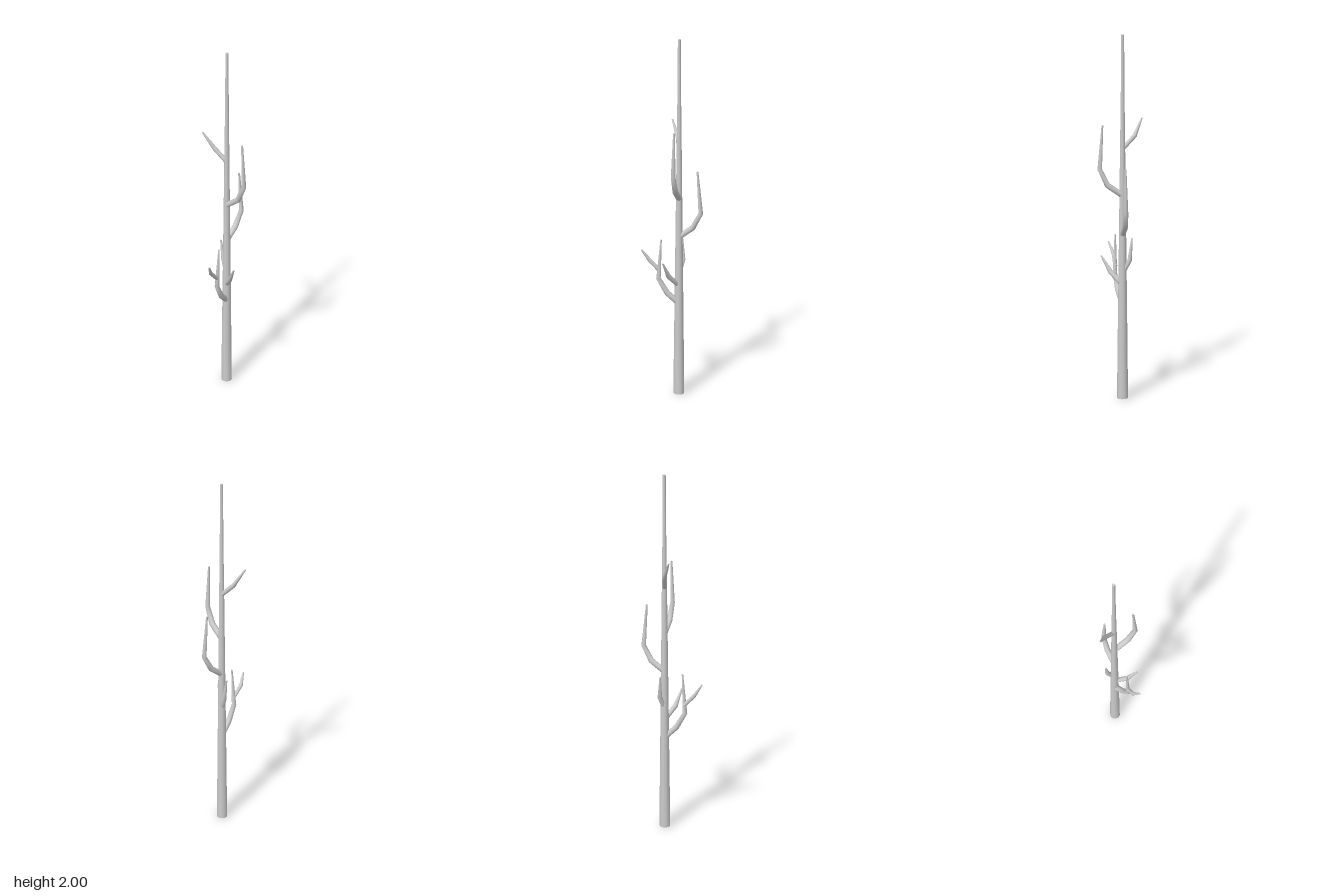
import * as THREE from 'three';

const SIDES = 10;
const material = new THREE.MeshStandardMaterial({ color: 0xcccccc });

// Sweeps a tapering round section along points [x, y, z, radius], capped at both ends
function limb(name, path) {
  const pts = path.map(p => new THREE.Vector3(p[0], p[1], p[2]));
  const pos = [], idx = [];
  const normal = new THREE.Vector3(0, 0, 1);
  if (Math.abs(pts[1].z - pts[0].z) > 0.03) normal.set(1, 0, 0);
  path.forEach((p, i) => {
    const before = pts[i].clone().sub(pts[Math.max(i - 1, 0)]).normalize();
    const after = pts[Math.min(i + 1, pts.length - 1)].clone().sub(pts[i]).normalize();
    const tangent = before.add(after).normalize();
    normal.addScaledVector(tangent, -normal.dot(tangent)).normalize();
    const side = tangent.clone().cross(normal);
    for (let j = 0; j < SIDES; j++) {
      const a = (j / SIDES) * Math.PI * 2;
      const v = pts[i].clone()
        .addScaledVector(normal, Math.cos(a) * p[3])
        .addScaledVector(side, Math.sin(a) * p[3]);
      pos.push(v.x, v.y, v.z);
    }
  });
  const last = path.length - 1;
  for (let i = 0; i < last; i++) {
    for (let j = 0; j < SIDES; j++) {
      const k = (j + 1) % SIDES;
      const a = i * SIDES + j, b = i * SIDES + k;
      idx.push(a, b, a + SIDES, b, b + SIDES, a + SIDES);
    }
  }
  // Flat end caps with their own corners, so the rims stay sharp
  for (const end of [0, last]) {
    const base = pos.length / 3;
    pos.push(...pos.slice(end * SIDES * 3, (end + 1) * SIDES * 3));
    for (let j = 1; j < SIDES - 1; j++) {
      if (end) idx.push(base, base + j, base + j + 1);
      else idx.push(base, base + j + 1, base + j);
    }
  }
  const geometry = new THREE.BufferGeometry();
  geometry.setAttribute('position', new THREE.Float32BufferAttribute(pos, 3));
  geometry.setIndex(idx);
  geometry.computeVertexNormals();
  const mesh = new THREE.Mesh(geometry, material);
  mesh.name = name;
  return mesh;
}

export function createModel() {
  const group = new THREE.Group();
  group.name = 'bareTree';
  const tx = 0.032, tz = -0.012;

  // Straight tapering trunk
  const trunk = [[0, 0.031], [0.28, 0.028], [0.6, 0.024], [1, 0.019], [1.4, 0.014], [1.7, 0.01], [2, 0.008]];
  group.add(limb('trunk', trunk.map(([y, r]) => [tx, y, tz, r])));

  // Branches kink outwards, then turn upwards to a thin tip
  const branches = {
    lowerRightBranch: [[tx, 0.54, tz, 0.017], [-0.03, 0.6, 0.007, 0.016], [-0.077, 0.685, 0.02, 0.013], [-0.061, 0.91, 0.02, 0.004]],
    lowerRightTwig: [[-0.07, 0.73, 0.018, 0.011], [-0.128, 0.79, 0.024, 0.011], [-0.165, 0.852, 0.05, 0.004]],
    lowerFrontBranch: [[tx, 0.645, tz, 0.014], [-0.008, 0.71, 0.05, 0.014], [-0.027, 0.8, 0.102, 0.004]],
    lowerBackBranch: [[tx, 0.71, tz, 0.013], [0.045, 0.785, -0.05, 0.013], [0.037, 0.905, -0.063, 0.004]],
    leftBranch: [[tx, 0.925, tz, 0.016], [0.107, 0.98, -0.019, 0.016], [0.153, 1.063, -0.018, 0.013], [0.133, 1.295, -0.018, 0.005]],
    upperFrontBranch: [[tx, 1.14, tz, 0.016], [0.035, 1.197, 0.07, 0.016], [0.035, 1.285, 0.112, 0.013], [0.035, 1.52, 0.097, 0.005]],
    upperBackBranch: [[tx, 1.395, tz, 0.012], [0.006, 1.462, -0.08, 0.012], [-0.039, 1.555, -0.124, 0.004]],
  };
  for (const [name, path] of Object.entries(branches)) group.add(limb(name, path));
  return group;
}
